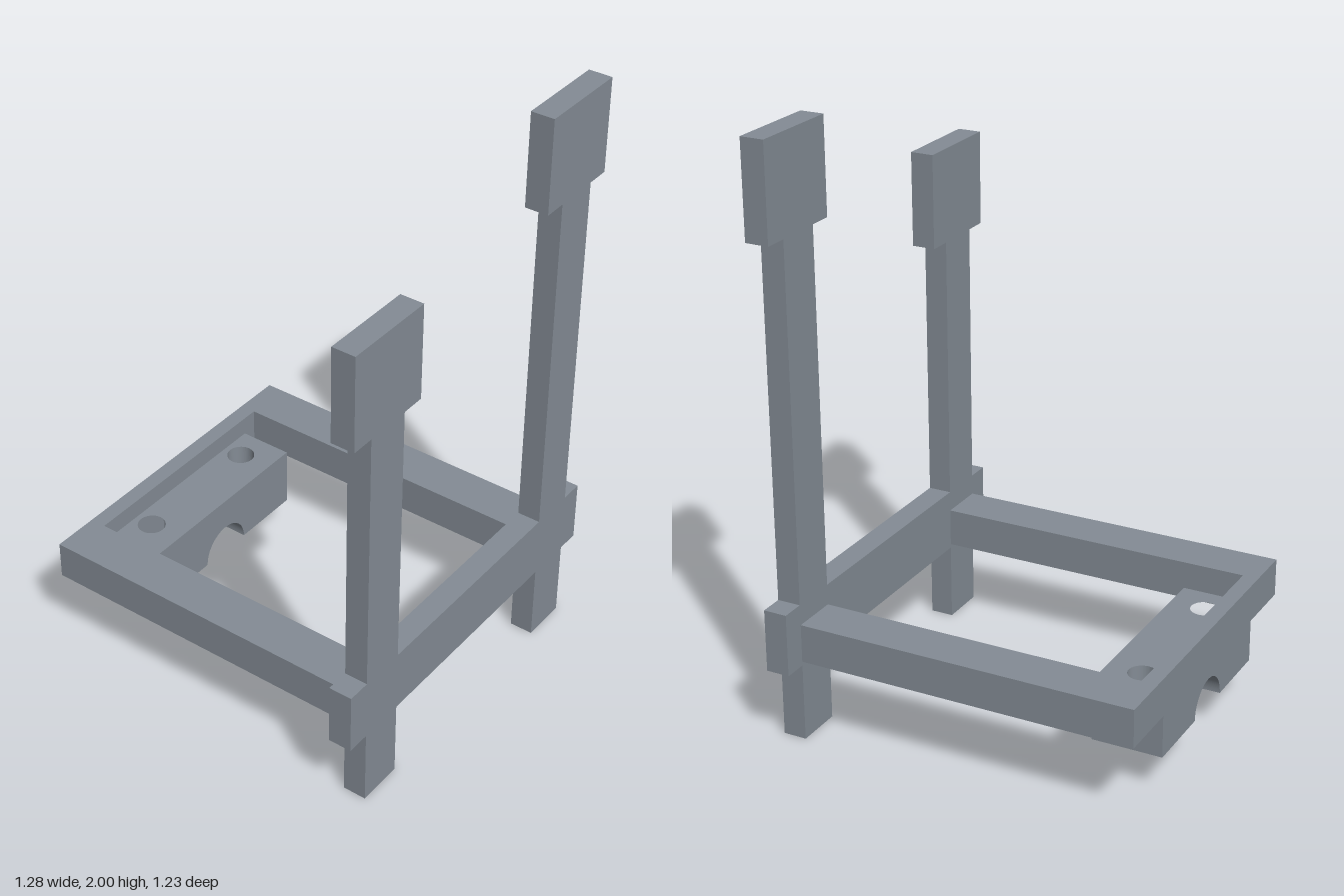
import * as THREE from 'three';

const BACK = -0.617, FRONT = 0.617, PLATE_BACK = 0.537, BAR_FRONT = -0.563, BLOCK_FRONT = -0.377;
const RAIL_BOTTOM = 0.28, RAIL_TOP = 0.41, BLOCK_BOTTOM = 0.135, BLOCK_TOP = 0.345;
const ARCH = 0.1, LUG_INNER = 0.105, LUG_OUTER = 0.347;

const outline = (points) => new THREE.Shape(points.map(([x, y]) => new THREE.Vector2(x, y)));

// Extrude an x-y outline from z0 to z1
function extrudeZ(shape, z0, z1) {
  return new THREE.ExtrudeGeometry(shape, { depth: z1 - z0, bevelEnabled: false, curveSegments: 32 })
    .translate(0, 0, z0);
}

// Extrude a plan outline (x, -z) from y0 to y1
function extrudeY(shape, y0, y1) {
  return new THREE.ExtrudeGeometry(shape, { depth: y1 - y0, bevelEnabled: false, curveSegments: 32 })
    .rotateX(-Math.PI / 2).translate(0, y0, 0);
}

// Outline mirrored in x, with a half-round notch in its bottom edge
function archedOutline(rightSide) {
  const leftSide = rightSide.map(([x, y]) => [-x, y]).reverse();
  const shape = outline([[ARCH, BLOCK_BOTTOM], ...rightSide, ...leftSide, [-ARCH, BLOCK_BOTTOM]]);
  shape.absarc(0, BLOCK_BOTTOM, ARCH, Math.PI, 0, true);
  return shape;
}

export function createModel() {
  const group = new THREE.Group();
  const material = new THREE.MeshStandardMaterial({ color: 0x848c95 });
  const add = (name, geometry, parent = group) => {
    const mesh = new THREE.Mesh(geometry, material);
    mesh.name = name;
    parent.add(mesh);
  };

  // Front plate: two posts with square pads, joined by a crossbar
  const half = (padBottom) => [
    [0.4, 0.267], [0.4, 0], [0.56, 0], [0.56, 0.267], [0.64, 0.267], [0.64, 0.48], [0.56, 0.48],
    [0.56, padBottom], [0.64, padBottom], [0.64, padBottom + 0.32], [0.32, padBottom + 0.32],
    [0.32, padBottom], [0.4, padBottom], [0.4, 0.48],
  ];
  const rightHalf = half(1.39).map(([x, y]) => [-x, y]).reverse();
  add('frontPlate', extrudeZ(outline([...half(1.68), ...rightHalf]), PLATE_BACK, FRONT));

  // Thin rear bar, stepping down to the back of the mounting block
  const bar = archedOutline([
    [LUG_OUTER, BLOCK_BOTTOM], [LUG_OUTER, RAIL_BOTTOM], [0.56, RAIL_BOTTOM], [0.56, RAIL_TOP],
  ]);
  add('rearBar', extrudeZ(bar, BACK, BAR_FRONT));

  // Mounting block: arched centre between two drilled lugs
  const block = new THREE.Group();
  block.name = 'mountingBlock';
  group.add(block);
  const centre = archedOutline([[LUG_INNER, BLOCK_BOTTOM], [LUG_INNER, BLOCK_TOP]]);
  add('archedCentre', extrudeZ(centre, BAR_FRONT, BLOCK_FRONT), block);

  for (const [side, s] of [['left', 1], ['right', -1]]) {
    // Side rail from the rear bar to the front plate
    const rail = new THREE.BoxGeometry(0.16, RAIL_TOP - RAIL_BOTTOM, PLATE_BACK - BAR_FRONT);
    rail.translate(s * 0.48, (RAIL_TOP + RAIL_BOTTOM) / 2, (PLATE_BACK + BAR_FRONT) / 2);
    add(`${side}Rail`, rail);

    const lug = outline([
      [s * LUG_INNER, -BLOCK_FRONT], [s * LUG_OUTER, -BLOCK_FRONT],
      [s * LUG_OUTER, -BAR_FRONT], [s * LUG_INNER, -BAR_FRONT],
    ]);
    const hole = new THREE.Path();
    hole.absarc(s * 0.24, 0.497, 0.047, 0, Math.PI * 2, true);
    lug.holes.push(hole);
    add(`${side}DrilledLug`, extrudeY(lug, BLOCK_BOTTOM, BLOCK_TOP), block);
  }
  return group;
}
